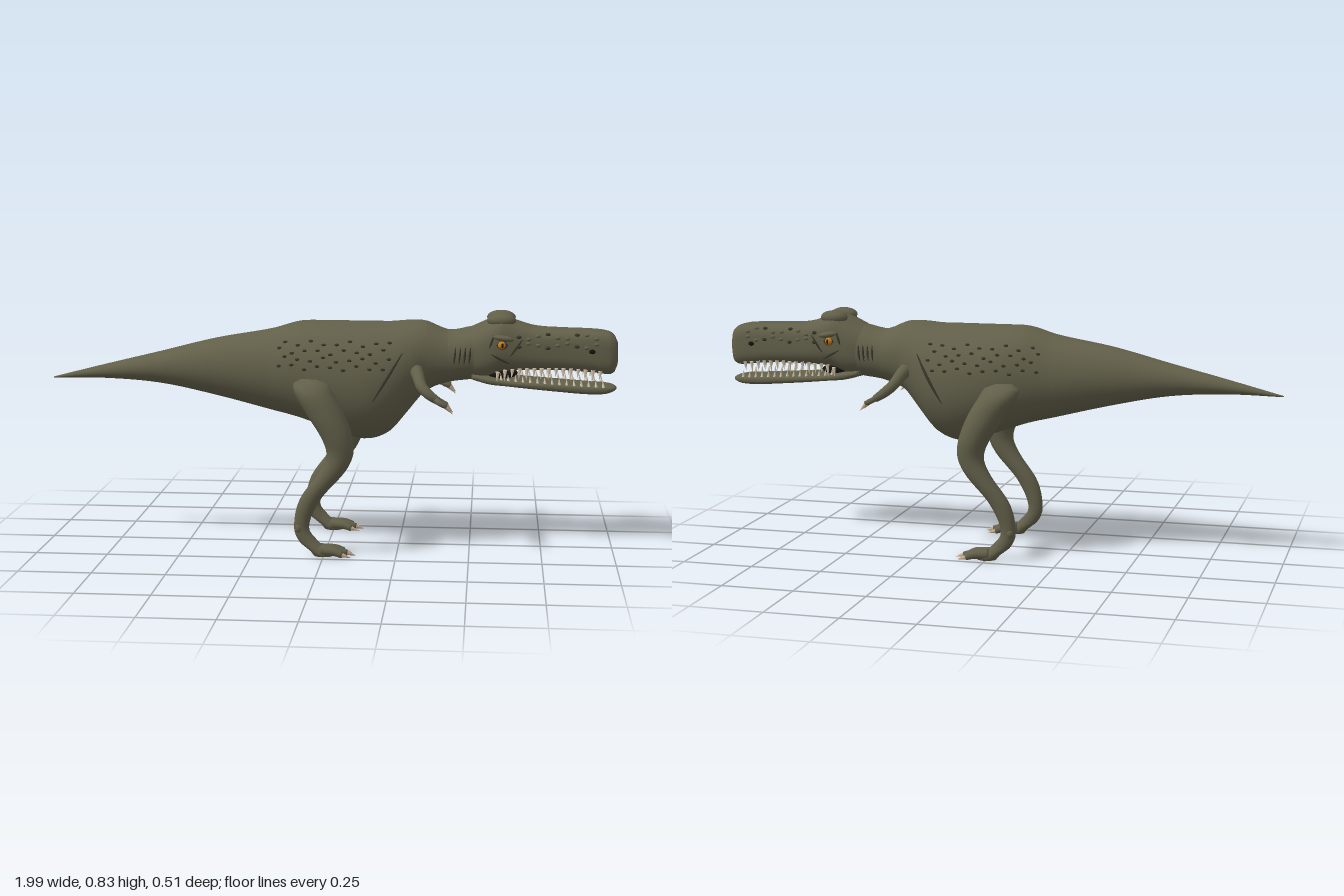
import * as THREE from 'three';

const mat = (name, color) => Object.assign(new THREE.MeshStandardMaterial({ color }), { name });
const V = (x, y, z) => new THREE.Vector3(x, y, z);

// Smooth interpolation of rows [t, a, b, ...] at t
function sample(keys, t) {
  let i = 0;
  while (i < keys.length - 2 && t > keys[i + 1][0]) i++;
  const p = keys[i], q = keys[i + 1], o = keys[i - 1] || p, r = keys[i + 2] || q;
  const h = q[0] - p[0], f = THREE.MathUtils.clamp((t - p[0]) / h, 0, 1);
  return p.map((v, c) => {
    const m0 = h * (q[c] - o[c]) / (q[0] - o[0]), m1 = h * (r[c] - v) / (r[0] - p[0]);
    return (2 * f ** 3 - 3 * f * f + 1) * v + (f ** 3 - 2 * f * f + f) * m0
      + (3 * f * f - 2 * f ** 3) * q[c] + (f ** 3 - f * f) * m1;
  });
}

// Closed skin over rings { c, u, v, n }; u x v points along the travel direction
function loft(rings, seg = 32) {
  const pos = [], idx = [], last = rings.length - 1;
  const pw = (a, n) => Math.sign(a) * Math.abs(a) ** (2 / n);
  for (const { c, u, v, n = 2 } of rings) for (let j = 0; j < seg; j++) {
    const a = j / seg * Math.PI * 2;
    pos.push(...c.clone().addScaledVector(u, pw(Math.cos(a), n)).addScaledVector(v, pw(Math.sin(a), n)).toArray());
  }
  for (let i = 0; i < last; i++) for (let j = 0; j < seg; j++) {
    const k = (j + 1) % seg, a = i * seg + j, b = i * seg + k;
    idx.push(a, b, a + seg, b, b + seg, a + seg);
  }
  const s = pos.length / 3;
  pos.push(...rings[0].c.toArray(), ...rings[last].c.toArray());
  for (let j = 0; j < seg; j++) {
    const k = (j + 1) % seg;
    idx.push(s, k, j, s + 1, last * seg + j, last * seg + k);
  }
  const g = new THREE.BufferGeometry();
  g.setAttribute('position', new THREE.Float32BufferAttribute(pos, 3));
  g.setIndex(idx);
  g.computeVertexNormals();
  return g;
}

// Skin along x from rows [x, top, bottom, halfWidth, squareness]
function hull(keys, steps) {
  const x0 = keys[0][0], x1 = keys[keys.length - 1][0], rings = [];
  const xs = keys.map(k => k[0]);
  for (let i = 0; i <= steps; i++) xs.push(x0 + (x1 - x0) * i / steps);
  for (const t of [...new Set(xs)].sort((a, b) => a - b)) {
    const [x, top, bot, w, n] = sample(keys, t);
    rings.push({ c: V(x, (top + bot) / 2, 0), u: V(0, (top - bot) / 2, 0), v: V(0, 0, w), n });
  }
  return loft(rings, 48);
}

// Round limb through points with matching radii
function limb(points, radii, steps = 16, seg = 14) {
  const curve = new THREE.CatmullRomCurve3(points), fr = curve.computeFrenetFrames(steps);
  const keys = radii.map((r, i) => [i / (radii.length - 1), r]);
  return loft(fr.tangents.map((_, i) => {
    const r = sample(keys, curve.getUtoTmapping(i / steps))[1];
    return { c: curve.getPointAt(i / steps), u: fr.normals[i].clone().multiplyScalar(r), v: fr.binormals[i].clone().multiplyScalar(r) };
  }), seg);
}

const BODY = [
  [-0.985, 0.586, 0.582, 0.003, 2], [-0.8, 0.633, 0.584, 0.03, 2], [-0.6, 0.682, 0.57, 0.061, 2],
  [-0.4, 0.732, 0.53, 0.096, 2], [-0.2, 0.768, 0.48, 0.135, 2], [-0.1, 0.795, 0.455, 0.16, 2.1],
  [0, 0.797, 0.42, 0.182, 2.1], [0.1, 0.797, 0.387, 0.19, 2.1], [0.16, 0.797, 0.387, 0.188, 2.1],
  [0.22, 0.797, 0.415, 0.176, 2.1], [0.28, 0.802, 0.485, 0.152, 2.1], [0.34, 0.8, 0.555, 0.125, 2.1],
  [0.42, 0.77, 0.588, 0.106, 2.2], [0.5, 0.783, 0.6, 0.101, 2.3], [0.57, 0.79, 0.612, 0.09, 2.5]];
const HEAD = [
  [0.46, 0.765, 0.61, 0.088, 2.4], [0.52, 0.792, 0.603, 0.103, 2.5], [0.56, 0.81, 0.611, 0.108, 2.7],
  [0.6, 0.826, 0.629, 0.108, 2.8], [0.65, 0.806, 0.635, 0.1, 3], [0.72, 0.786, 0.637, 0.09, 3.2],
  [0.82, 0.78, 0.637, 0.081, 3.4], [0.92, 0.777, 0.63, 0.075, 3.5], [0.97, 0.77, 0.625, 0.07, 3.5],
  [0.99, 0.757, 0.632, 0.06, 3.3], [1, 0.735, 0.655, 0.04, 3]];
const JAW = [
  [0.5, 0.63, 0.603, 0.085, 2.6], [0.56, 0.62, 0.588, 0.097, 3], [0.62, 0.61, 0.582, 0.096, 3],
  [0.7, 0.604, 0.573, 0.089, 3], [0.8, 0.598, 0.563, 0.08, 3], [0.9, 0.592, 0.555, 0.072, 3],
  [0.96, 0.589, 0.556, 0.064, 2.8], [0.99, 0.584, 0.565, 0.046, 2.5], [1, 0.578, 0.573, 0.02, 2]];
// Leg rows: [-y, x, z, radiusX, radiusZ]
const LEG = [
  [-0.615, -0.05, 0.165, 0.03, 0.02], [-0.605, -0.048, 0.17, 0.056, 0.04], [-0.57, -0.036, 0.18, 0.067, 0.06],
  [-0.5, 0.005, 0.19, 0.066, 0.06], [-0.42, 0.045, 0.2, 0.054, 0.048], [-0.36, 0.056, 0.202, 0.046, 0.037],
  [-0.3, 0.03, 0.202, 0.044, 0.033], [-0.2, -0.047, 0.199, 0.036, 0.027], [-0.1, -0.077, 0.197, 0.026, 0.021],
  [-0.05, -0.05, 0.198, 0.034, 0.021], [-0.02, -0.012, 0.199, 0.035, 0.028], [-0.004, 0, 0.199, 0.034, 0.03]];

export function createModel() {
  const root = new THREE.Group();
  root.name = 'dinosaur';
  const skin = mat('olive skin', 0x625f49), dark = mat('dark scale', 0x39372a), claw = mat('claw horn', 0xc5ad92),
    ivory = mat('tooth ivory', 0xd8cbb2), amber = mat('amber eye', 0xc07c1e), black = mat('mouth black', 0x15120f);
  const add = (name, geo, m, parent = root) => {
    const mesh = new THREE.Mesh(geo, m);
    mesh.name = name;
    parent.add(mesh);
    return mesh;
  };
  const ballGeo = new THREE.SphereGeometry(1, 14, 10);
  const ball = (name, m, p, sx, sy, sz) => {
    const b = add(name, ballGeo, m);
    b.position.copy(p);
    b.scale.set(sx, sy, sz);
    return b;
  };
  const spike = (name, m, from, to, r) => {
    const d = to.clone().sub(from), b = add(name, new THREE.ConeGeometry(r, d.length(), 8), m);
    b.position.copy(from).addScaledVector(d, 0.5);
    b.quaternion.setFromUnitVectors(V(0, 1, 0), d.normalize());
  };
  // Point on the flank of a hull
  const onSide = (keys, x, y, s) => {
    const [, t, b, w, n] = sample(keys, x), k = Math.min(1, Math.abs((y - (t + b) / 2) / ((t - b) / 2)));
    return V(x, y, s * w * (1 - k ** n) ** (1 / n));
  };
  const scar = (keys, s, x0, y0, x1, y1, r) => add('scar', limb([0, 0.33, 0.67, 1].map(f =>
    onSide(keys, x0 + (x1 - x0) * f, y0 + (y1 - y0) * f, s)), [r * 0.3, r, r, r * 0.3], 10, 6), dark);

  add('body', hull(BODY, 70), skin);
  add('upperHead', hull(HEAD, 50), skin);
  add('lowerJaw', hull(JAW, 40), skin);
  ball('mouthInterior', black, V(0.6, 0.622, 0), 0.06, 0.018, 0.085);

  for (const s of [1, -1]) {
    // Leg and foot
    const rings = [];
    for (let i = 0; i <= 44; i++) {
      const [t, x, z, rx, rz] = sample(LEG, -0.615 + 0.611 * i / 44);
      rings.push({ c: V(x, -t, s * z), u: V(rx, 0, 0), v: V(0, 0, rz) });
    }
    add('leg', loft(rings, 28), skin);
    for (const k of [-1, 0, 1]) {
      const z = s * 0.198 + k * 0.034, reach = k ? 0.068 : 0.082;
      add('toe', limb([V(-0.01, 0.024, s * 0.198 + k * 0.012), V(0.04, 0.022, s * 0.198 + k * 0.025), V(reach, 0.013, z)],
        [0.019, 0.015, 0.011], 10, 12), skin);
      spike('toeClaw', claw, V(reach - 0.002, 0.014, z), V(reach + 0.03, 0.005, z + k * 0.003), 0.009);
    }
    ball('ankleSpur', skin, V(-0.085, 0.1, s * 0.211), 0.012, 0.016, 0.01);

    // Arm and two-fingered hand
    add('arm', limb([V(0.305, 0.648, s * 0.105), V(0.318, 0.632, s * 0.15), V(0.335, 0.598, s * 0.205),
      V(0.36, 0.575, s * 0.222), V(0.392, 0.553, s * 0.223)], [0.028, 0.022, 0.019, 0.017, 0.013], 26), skin);
    for (const k of [-1, 1]) {
      const z = s * (0.224 + k * 0.02);
      add('finger', limb([V(0.38, 0.56, s * 0.223), V(0.398, 0.55, z), V(0.42, 0.539, z)], [0.011, 0.01, 0.009], 8, 10), skin);
      spike('fingerClaw', claw, V(0.416, 0.54, z), V(0.442, 0.512, z), 0.009);
    }

    // Brow crest, eye and nostril
    ball('crest', skin, V(0.6, 0.81, s * 0.052), 0.05, 0.025, 0.036);
    ball('brow', skin, V(0.606, 0.754, s * 0.1), 0.038, 0.011, 0.017).rotation.z = -0.15;
    ball('eyeSocket', dark, V(0.6, 0.73, s * 0.1), 0.025, 0.019, 0.011);
    ball('eye', amber, V(0.602, 0.731, s * 0.107), 0.014, 0.013, 0.011);
    ball('pupil', black, V(0.604, 0.731, s * 0.1165), 0.004, 0.008, 0.003);
    ball('nostril', black, onSide(HEAD, 0.91, 0.708, s), 0.011, 0.008, 0.004);

    // Teeth along both jaws
    for (let i = 0; i < 15; i++) {
      const x = 0.59 + i * 0.025, up = sample(HEAD, x), lo = sample(JAW, x);
      const z = s * up[3] * 0.86, len = 0.026 + 0.007 * Math.sin(i * 2.1);
      spike('upperTooth', ivory, V(x, up[2] + 0.012, z), V(x - 0.003, up[2] - len, z), 0.0075);
      const zl = s * lo[3] * 0.84;
      spike('lowerTooth', ivory, V(x + 0.012, lo[1] - 0.008, zl), V(x + 0.01, lo[1] + 0.018, zl), 0.0055);
    }

    // Scales on the flank and snout
    for (let r = 0; r < 4; r++) for (let i = 0; i < 9; i++) {
      const x = -0.16 + i * 0.045 + (r % 2) * 0.02, y = 0.655 + r * 0.026 + 0.008 * Math.sin(i * 2.3 + r);
      ball('flankScale', dark, onSide(BODY, x, y, s), 0.008, 0.005, 0.004);
    }
    for (let i = 0; i < 18; i++) {
      const x = 0.66 + (i % 9) * 0.033, y = (i < 9 ? 0.758 : 0.728) - 0.008 * Math.sin(i * 1.7);
      ball('snoutScale', i % 3 ? skin : dark, onSide(HEAD, x, y, s), 0.009, 0.006, 0.006);
    }

    // Scars, cheek folds and neck folds
    scar(BODY, s, 0.165, 0.54, 0.265, 0.705, 0.005);
    for (let i = 0; i < 4; i++) scar(BODY, s, 0.44 + i * 0.017, 0.665, 0.445 + i * 0.017, 0.72, 0.0035);
    scar(HEAD, s, 0.565, 0.7, 0.63, 0.665, 0.004);
    scar(HEAD, s, 0.63, 0.69, 0.672, 0.75, 0.004);
    scar(HEAD, s, 0.56, 0.72, 0.575, 0.765, 0.004);
  }
  return root;
}
